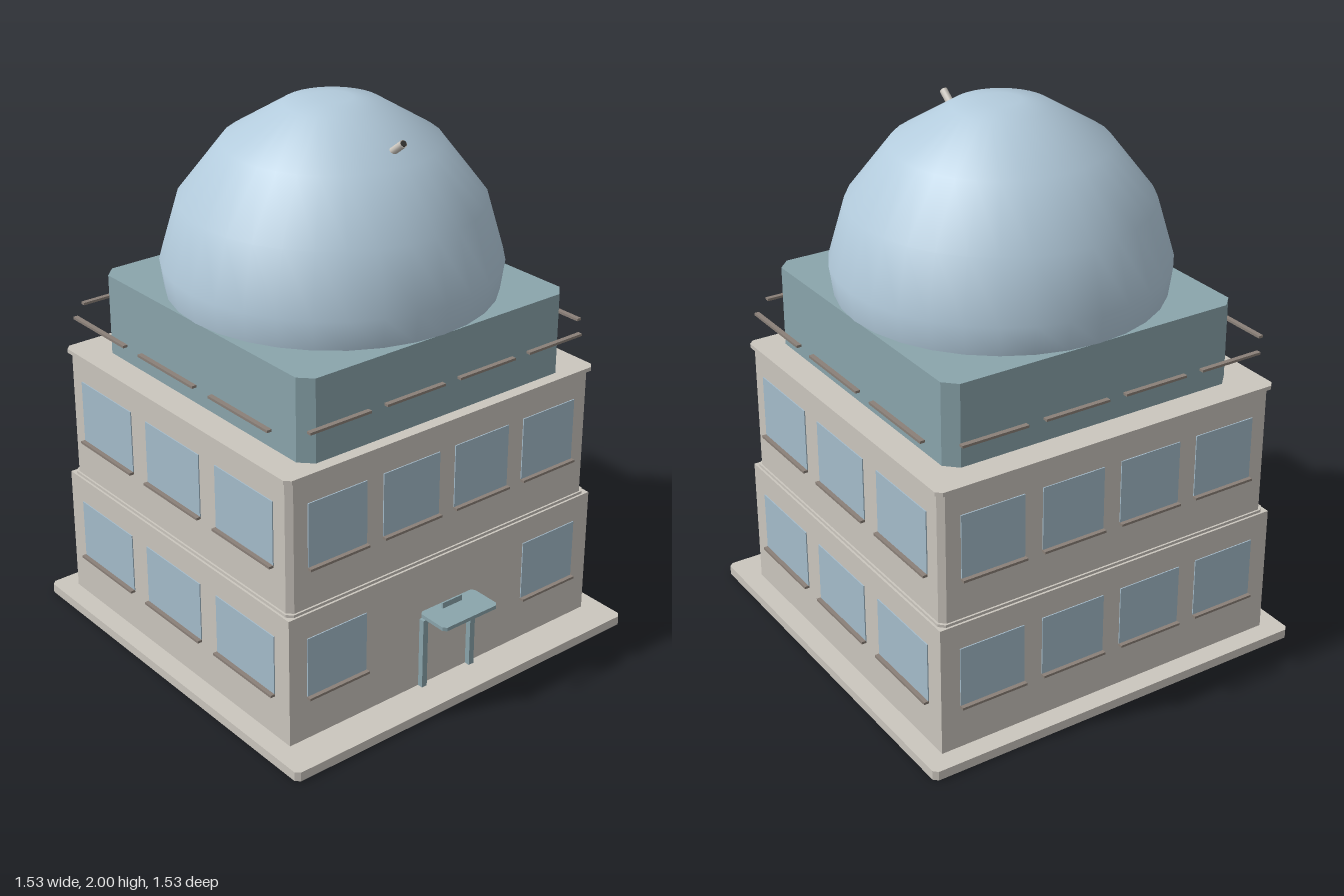
import * as THREE from 'three';

const mat = (name, color) => {
  const m = new THREE.MeshStandardMaterial({ color });
  m.name = name;
  return m;
};

export function createModel() {
  const stone = mat('stone', 0xcbc6be);
  const teal = mat('teal', 0x8aa5ac);
  const domeBlue = mat('dome blue', 0xb3cbdc);
  const glass = mat('glass', 0xa5bccb);
  const sillBrown = mat('sill brown', 0x8a8078);
  const dark = mat('dark', 0x3c3a38);

  const model = new THREE.Group();
  model.name = 'observatory';

  const add = (name, geometry, material, x = 0, y = 0, z = 0, parent = model) => {
    const mesh = new THREE.Mesh(geometry, material);
    mesh.name = name;
    mesh.position.set(x, y, z);
    parent.add(mesh);
    return mesh;
  };
  const box = (name, material, w, h, d, x, y, z, parent) =>
    add(name, new THREE.BoxGeometry(w, h, d), material, x, y, z, parent);

  // Upright block with cut corners, from y0 to y1
  const block = (name, material, hx, hz, cut, y0, y1, x = 0) => {
    const shape = new THREE.Shape([
      [hx - cut, -hz], [hx, cut - hz], [hx, hz - cut], [hx - cut, hz],
      [cut - hx, hz], [-hx, hz - cut], [-hx, cut - hz], [cut - hx, -hz],
    ].map(([a, b]) => new THREE.Vector2(a, b)));
    const g = new THREE.ExtrudeGeometry(shape, { depth: y1 - y0, bevelEnabled: false });
    g.rotateX(-Math.PI / 2);
    return add(name, g, material, x, y0, 0);
  };

  // Stacked storeys; the lower two sit slightly to one side of the plinth
  const cx = -0.03;
  block('plinth', stone, 0.765, 0.765, 0.016, 0, 0.035);
  box('groundFloor', stone, 1.32, 0.49, 1.38, cx, 0.28, 0);
  block('upperFloor', stone, 0.645, 0.675, 0.02, 0.525, 1.02, cx);
  block('upperFloorFooting', stone, 0.652, 0.682, 0.02, 0.525, 0.535, cx);
  block('cornice', stone, 0.655, 0.687, 0.02, 1.018, 1.033, cx);
  block('drum', teal, 0.58, 0.58, 0.045, 1.033, 1.333);

  // Faceted-profile dome
  const profile = [
    [0.583, 1.333], [0.598, 1.44], [0.535, 1.655], [0.38, 1.855],
    [0.17, 1.983], [0.07, 2], [0, 2],
  ].map(([r, y]) => new THREE.Vector2(r, y));
  add('dome', new THREE.LatheGeometry(profile, 32), domeBlue);

  // Telescope poking out of the dome
  const telescope = new THREE.Group();
  telescope.name = 'telescope';
  telescope.position.set(0.325, 1.9, 0);
  telescope.rotation.z = -0.92;
  model.add(telescope);
  add('telescopeTube', new THREE.CylinderGeometry(0.014, 0.014, 0.1, 12), stone, 0, 0, 0, telescope);
  add('telescopeLens', new THREE.CylinderGeometry(0.011, 0.011, 0.004, 12), dark, 0, 0.051, 0, telescope);

  // Each wall is a group whose local +z points outward
  const walls = [
    { name: 'front', turn: 0, x: cx, z: 0, long: true },
    { name: 'back', turn: Math.PI, x: cx, z: 0, long: true },
    { name: 'left', turn: Math.PI / 2, x: cx, z: 0, long: false },
    { name: 'right', turn: -Math.PI / 2, x: cx, z: 0, long: false },
  ];
  const storeys = [
    { y: 0.2, h: 0.23, inset: 0, spread: 1.03, windows: true },
    { y: 0.685, h: 0.24, inset: 0.015, spread: 1, windows: true },
    { y: 1.18, h: 0, inset: 0.015, spread: 1, windows: false },
  ];
  for (const wall of walls) {
    const group = new THREE.Group();
    group.name = wall.name + 'Wall';
    group.position.set(wall.x, 0, wall.z);
    group.rotation.y = wall.turn;
    model.add(group);
    const centres = wall.long ? [-0.407, 0, 0.407] : [-0.475, -0.158, 0.158, 0.475];
    const width = wall.long ? 0.315 : 0.246;
    for (const s of storeys) {
      const face = (wall.long ? 0.69 : 0.66) - s.inset;
      for (const c of centres) {
        // The entrance takes the place of the two middle windows
        if (wall.name === 'left' && s.y === 0.2 && Math.abs(c) < 0.2) continue;
        const w = width * s.spread;
        if (s.windows) box('window', glass, w, s.h, 0.006, c * s.spread, s.y + s.h / 2, face + 0.001, group);
        box(s.windows ? 'sill' : 'railing', sillBrown, w + 0.004, 0.009, 0.018,
          c * s.spread, s.y, face + 0.011, group);
      }
    }
  }

  // Entrance porch on the +x side
  for (const side of [-1, 1]) box('doorPost', teal, 0.022, 0.27, 0.022, 0.64, 0.17, side * 0.111);
  box('doorLintel', teal, 0.022, 0.012, 0.244, 0.64, 0.302, 0);
  box('canopySupport', teal, 0.07, 0.012, 0.2, 0.665, 0.315, 0);
  block('canopy', teal, 0.066, 0.125, 0.012, 0.321, 0.335, 0.697);
  box('canopyPlate', teal, 0.006, 0.022, 0.09, 0.66, 0.346, 0);

  return model;
}
